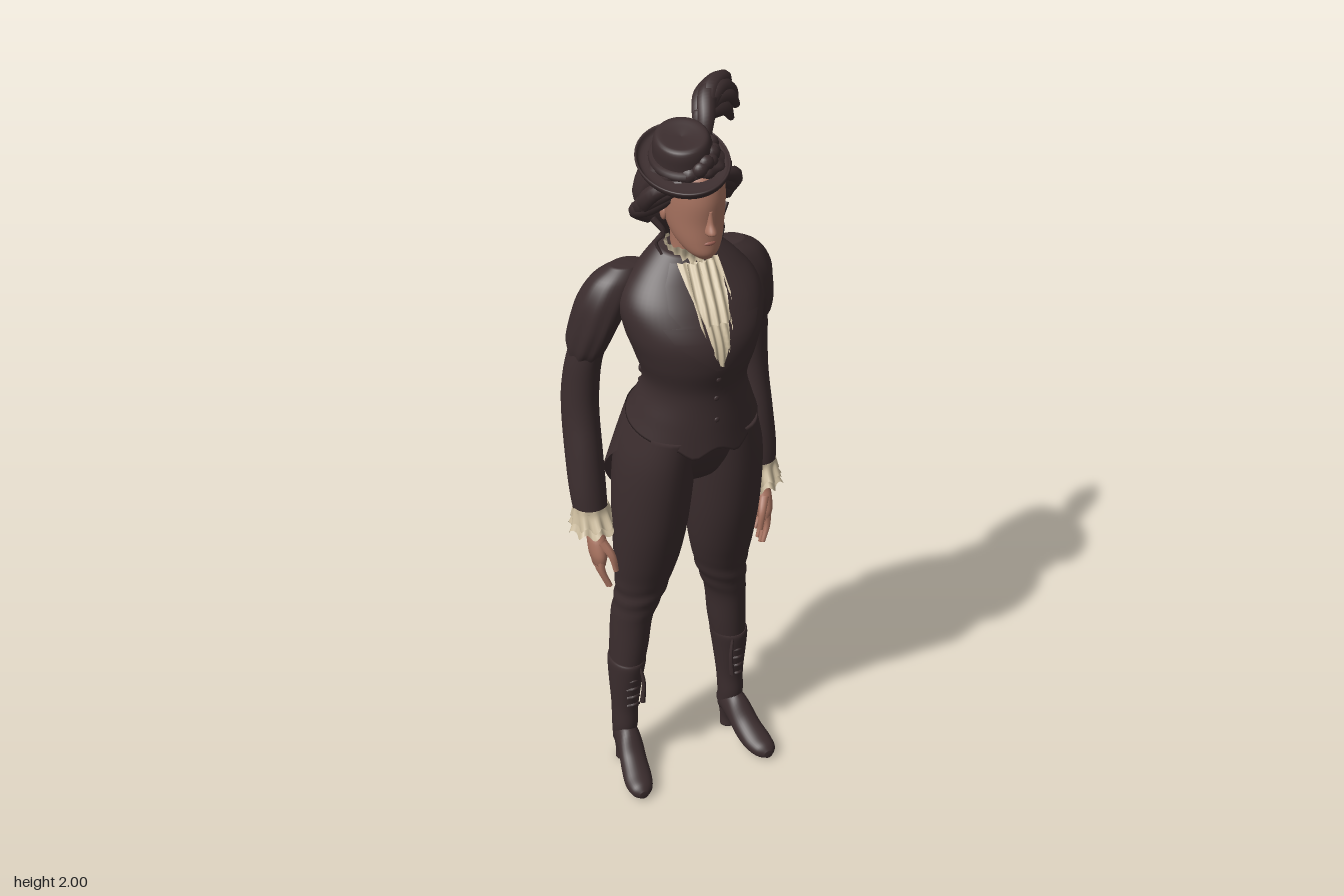
import * as THREE from 'three';

const mat = (name, color) => {
  const m = new THREE.MeshStandardMaterial({ color, side: THREE.DoubleSide });
  m.name = name;
  return m;
};

// Smoothly resample rows of numbers (Catmull-Rom on each column)
function dense(rows, k = 6) {
  const out = [], n = rows.length, at = i => rows[Math.max(0, Math.min(n - 1, i))];
  const spline = (a, b, c, d, t) => {
    const cubic = 3 * (b - c) + d - a, square = 2 * a - 5 * b + 4 * c - d;
    return b + 0.5 * t * (c - a + t * (square + t * cubic));
  };
  for (let i = 0; i < n - 1; i++) for (let s = 0; s < k; s++) {
    const [a, b, c, d] = [at(i - 1), at(i), at(i + 1), at(i + 2)];
    out.push(b.map((_, j) => spline(a[j], b[j], c[j], d[j], s / k)));
  }
  out.push(rows[n - 1]);
  return out;
}

// Build an indexed grid; wrap closes it sideways, cap closes both ends
function grid(nu, nv, fn, wrap = false, cap = false) {
  const pos = [], idx = [], w = wrap ? nu : nu + 1;
  for (let j = 0; j <= nv; j++) for (let i = 0; i < w; i++) pos.push(...fn(i / nu, j / nv, j));
  for (let j = 0; j < nv; j++) for (let i = 0; i < nu; i++) {
    const a = j * w + i, b = j * w + (i + 1) % w;
    idx.push(a, b, b + w, a, b + w, a + w);
  }
  if (cap) for (const j of [0, nv]) {
    const c = [0, 0, 0], id = pos.length / 3;
    for (let i = 0; i < w; i++) for (let q = 0; q < 3; q++) c[q] += pos[(j * w + i) * 3 + q] / w;
    pos.push(...c);
    for (let i = 0; i < w; i++) {
      const a = j * w + i, b = j * w + (i + 1) % w;
      idx.push(...(j ? [a, b, id] : [b, a, id]));
    }
  }
  const g = new THREE.BufferGeometry();
  g.setAttribute('position', new THREE.Float32BufferAttribute(pos, 3));
  g.setIndex(idx);
  g.computeVertexNormals();
  return g;
}

// Oval cross-sections [height, centre x, front z, back z, half width], rising
function loft(sections, { n = 32, cap = true, rule = () => ({}) } = {}) {
  const rows = dense(sections);
  return grid(n, rows.length - 1, (u, v, j) => {
    const [y, cx, f, b, rx] = rows[j], a = u * Math.PI * 2;
    const { scale = 1, dy = 0 } = rule(a, v, y);
    return [cx + rx * scale * Math.sin(a), y + dy, (f + b) / 2 + (f - b) / 2 * scale * Math.cos(a)];
  }, true, cap);
}

// Tapered round strand along a curve
function strand(points, radius, taper = t => 1 - 0.6 * t, seg = 16, sides = 8) {
  const curve = new THREE.CatmullRomCurve3(points.map(p => new THREE.Vector3(...p)));
  const g = new THREE.TubeGeometry(curve, seg, radius, sides), p = g.attributes.position, v = new THREE.Vector3();
  for (let i = 0; i < p.count; i++) {
    const t = Math.floor(i / (sides + 1)) / seg, c = curve.getPointAt(t);
    v.fromBufferAttribute(p, i).sub(c).multiplyScalar(taper(t)).add(c);
    p.setXYZ(i, v.x, v.y, v.z);
  }
  g.computeVertexNormals();
  return g;
}

const ball = (r, x, y, z, sx = 1, sy = 1, sz = 1) =>
  new THREE.SphereGeometry(r, 16, 12).scale(sx, sy, sz).translate(x, y, z);

function mirrored(g) {
  const m = g.clone().scale(-1, 1, 1), i = m.index.array;
  for (let k = 0; k < i.length; k += 3) [i[k], i[k + 1]] = [i[k + 1], i[k]];
  m.computeVertexNormals();
  return m;
}

export function createModel() {
  const root = new THREE.Group();
  const cloth = mat('dark cloth', 0x3b2d2e), skin = mat('skin', 0xa87360);
  const lace = mat('cream lace', 0xcdbd9f), rose = mat('rosy skin', 0x9c6054);
  const add = (name, g, m = cloth) => {
    const mesh = new THREE.Mesh(g, m);
    mesh.name = name;
    root.add(mesh);
    return mesh;
  };
  const pair = (name, g, m) => { add(name + 'Left', g, m); add(name + 'Right', mirrored(g), m); };

  // Jacket body: pointed front hem, slightly raised back hem and back collar
  const body = [[1.12, 0, .178, -.115, .168], [1.18, 0, .174, -.095, .15], [1.27, 0, .17, -.075, .13],
    [1.35, 0, .188, -.09, .152], [1.42, 0, .186, -.108, .174], [1.49, 0, .148, -.108, .178],
    [1.55, 0, .1, -.085, .14], [1.6, 0, .06, -.052, .072]];
  add('jacketBody', loft(body, { n: 64, rule: (a, v, y) => {
    const low = Math.max(0, Math.min(1, (1.25 - y) / .13)), b = Math.min(a, 2 * Math.PI - a);
    const rear = (1 - Math.cos(a)) / 2, high = Math.max(0, (y - 1.55) / .05);
    return { dy: low * (.06 * rear - .028 * Math.exp(-(((b - .36) / .2) ** 2))) + .03 * high * rear };
  } }));

  // Patches laid over the chest: rows [height, inner x, outer x]
  const bodyRows = dense(body);
  const chest = (x, y) => {
    const i = Math.max(1, bodyRows.findIndex(r => r[0] >= y)), p = bodyRows[i - 1], q = bodyRows[i];
    const t = (y - p[0]) / (q[0] - p[0]), [, , f, b, rx] = p.map((c, k) => c + (q[k] - c) * t);
    return (f + b) / 2 + (f - b) / 2 * Math.sqrt(Math.max(0, 1 - (x / rx) ** 2));
  };
  const patch = (rows, off) => grid(24, rows.length * 6 - 6, (u, v) => {
    const s = v * (rows.length - 1), i = Math.min(rows.length - 2, Math.floor(s));
    const [y, a, b] = rows[i].map((c, k) => c + (rows[i + 1][k] - c) * (s - i));
    const x = a + (b - a) * u;
    return [x, y, chest(x, y) + off(x, y)];
  });
  pair('lapel', patch([[1.355, 0, .012], [1.43, .025, .105], [1.465, .03, .125], [1.47, .03, .085],
    [1.5, .04, .105], [1.55, .05, .095], [1.59, .055, .068]], () => .008));
  add('jabot', patch([[1.365, -.006, .006], [1.44, -.034, .034], [1.52, -.056, .056], [1.59, -.052, .052]],
    (x, y) => .006 + .004 * Math.sin(x * 330 + y * 14)), lace);
  add('jabotUpperFrill', patch([[1.47, -.03, .035], [1.53, -.042, .046], [1.59, -.035, .035]],
    (x, y) => .014 + .005 * Math.sin(x * 260 - y * 20)), lace);
  add('laceCollar', loft([[1.575, 0, .08, -.03, .066], [1.6, 0, .068, -.03, .055], [1.63, 0, .08, -.032, .062]],
    { n: 64, cap: false, rule: a => ({ scale: 1 + .06 * Math.sin(a * 16) }) }), lace);
  for (const y of [1.2, 1.26, 1.32]) add('jacketButton', ball(.007, 0, y, chest(0, y), 1, 1, .5));

  // Hips, legs and boots
  add('hips', loft([[.95, 0, .05, -.06, .05], [.99, 0, .1, -.1, .14], [1.06, 0, .138, -.115, .18],
    [1.13, 0, .155, -.1, .158], [1.2, 0, .13, -.07, .12]]));
  pair('leg', loft([[.3, .155, 0, -.105, .042], [.4, .145, .01, -.112, .05], [.5, .137, .018, -.11, .054],
    [.57, .122, .032, -.1, .063], [.63, .113, .045, -.098, .073], [.72, .106, .075, -.102, .086],
    [.83, .102, .106, -.112, .095], [.95, .098, .13, -.12, .098], [1.05, .092, .145, -.115, .094], [1.14, .08, .155, -.09, .08]],
    { rule: (a, v, y) => ({ scale: 1 + .035 * Math.sin(y * 110 + 2 * Math.sin(a)) * Math.exp(-(((y - .58) / .05) ** 2)) }) }));
  pair('bootShaft', loft([[.07, .16, -.03, -.09, .03], [.13, .16, -.012, -.092, .034], [.2, .158, -.012, -.096, .036],
    [.29, .155, .002, -.108, .044], [.345, .152, .01, -.113, .049], [.36, .15, .008, -.111, .047]]));
  pair('bootFoot', loft([[-.092, .158, -.05, -.11, .02], [-.06, .16, -.046, -.14, .031], [-.01, .165, -.032, -.13, .035],
    [.035, .173, -.008, -.085, .038], [.08, .181, 0, -.058, .039], [.115, .186, -.001, -.045, .03],
    [.132, .188, -.008, -.03, .012]]).rotateX(Math.PI / 2));
  pair('bootHeel', loft([[0, .16, -.04, -.084, .023], [.03, .16, -.04, -.086, .022], [.075, .16, -.022, -.092, .029]]));
  for (let i = 0; i < 5; i++)
    pair('bootLace', strand([[.138, .22 + i * .027, -.006], [.155, .228 + i * .027, .005], [.172, .22 + i * .027, -.006]], .004, () => 1, 8, 6));
  pair('bootTassel', strand([[.137, .35, .004], [.13, .3, .01], [.134, .235, .01]], .008, t => .5 + .5 * t));

  // Sleeves: long arm and puffed shoulder
  pair('sleeve', loft([[.85, .24, -.018, -.1, .043], [.92, .242, -.025, -.118, .047], [1.02, .24, -.04, -.15, .047],
    [1.12, .237, -.058, -.174, .046], [1.2, .234, -.06, -.175, .045], [1.3, .226, -.045, -.155, .042],
    [1.42, .2, -.01, -.12, .04]]));
  pair('puffSleeve', loft([[1.3, .228, -.05, -.15, .038], [1.335, .225, -.025, -.163, .044], [1.4, .212, 0, -.15, .053],
    [1.47, .188, .008, -.128, .066], [1.525, .16, 0, -.105, .064], [1.558, .135, -.02, -.075, .04]],
    { n: 48, rule: (a, v) => ({ scale: 1 + .045 * Math.sin(a * 9 + v * 3) * (1 - v) }) }));
  for (const [dy, r] of [[0, .06], [.02, .053]]) pair('laceCuff', loft([[.81 + dy, .238, .004, -.112, r],
    [.84 + dy, .239, -.014, -.104, .048], [.87 + dy * .4, .24, -.018, -.1, .045]],
    { n: 64, cap: false, rule: (a, v) => ({ scale: 1 + .1 * (1 - v) * Math.sin(a * 9), dy: .008 * (1 - v) * Math.cos(a * 9) }) }), lace);

  // Hands
  pair('palm', loft([[.715, .236, .004, -.058, .015], [.745, .237, .008, -.062, .022], [.78, .237, -.004, -.064, .024],
    [.81, .238, -.022, -.068, .022], [.86, .24, -.03, -.074, .022]]), skin);
  [.655, .645, .65, .668].forEach((tip, i) => {
    const z = -.004 - i * .0155;
    pair('finger', strand([[.238, .74, z], [.237, .7, z + .004], [.22, tip, z + .014]], .0105, t => 1 - .45 * t), skin);
  });
  pair('thumb', strand([[.232, .785, -.01], [.215, .75, .012], [.207, .705, .018]], .013, t => 1 - .45 * t), skin);

  // Split coat tails, each falling to a point
  pair('coatTail', grid(32, 24, (u, v) => {
    const tip = .16, { lerp } = THREE.MathUtils;
    const hem = u < tip ? lerp(.82, .74, u / tip) : lerp(.74, 1.06, (u - tip) / (1 - tip));
    const top = lerp(1.2, 1.15, u), y = top + (hem - top) * v, d = Math.max(0, (1.2 - y) / .46);
    const a = u * Math.PI / 2, notch = 1 - .28 * (1 - Math.min(1, u / tip)) ** 1.5;
    return [(.138 + .07 * Math.min(1, d * 2)) * Math.sin(a), y,
      -(.094 + .104 * Math.pow(d, .65)) * Math.pow(Math.max(0, Math.cos(a)), .7) * notch];
  }));

  // Back bow
  pair('bowLoop', ball(.032, .045, 1.215, -.1, 1.2, .75, .5));
  add('bowKnot', ball(.016, 0, 1.215, -.102));
  pair('bowEnd', strand([[.008, 1.21, -.105], [.035, 1.175, -.122], [.06, 1.15, -.13]], .016, t => .5 + .5 * t));

  // Neck, head and face
  add('neck', loft([[1.55, 0, .06, -.035, .055], [1.6, 0, .058, -.03, .044], [1.68, 0, .07, -.04, .045]]), skin);
  add('head', loft([[1.618, 0, .118, .06, .02], [1.635, 0, .13, .03, .04], [1.665, 0, .131, -.02, .058],
    [1.71, 0, .13, -.05, .068], [1.77, 0, .133, -.06, .071], [1.82, 0, .12, -.05, .066], [1.85, 0, .09, -.03, .04]]), skin);
  add('nose', loft([[1.688, 0, .138, .115, .009], [1.697, 0, .153, .11, .014], [1.72, 0, .141, .11, .009],
    [1.75, 0, .134, .11, .007]], { n: 12 }), skin);
  add('lips', ball(.016, 0, 1.665, .126, 1, .4, .5), rose);
  pair('ear', ball(.018, .069, 1.71, .02, .4, 1, .7), skin);

  // Swept-up hair with waves, low coil and loose curls
  add('hair', loft([[1.6, 0, -.025, -.065, .03], [1.64, 0, 0, -.092, .058], [1.69, 0, .025, -.104, .095],
    [1.74, 0, .045, -.11, .115], [1.8, 0, .095, -.108, .108], [1.84, 0, .116, -.095, .088], [1.87, 0, .08, -.06, .055]],
    { n: 72, rule: (a, v) => ({ scale: 1 + .035 * Math.sin(a * 12 + v * 9) }) }));
  add('hairCoil', new THREE.TorusGeometry(.034, .02, 10, 24).rotateX(-.3).translate(0, 1.665, -.082));
  add('hairCoilCentre', ball(.024, 0, 1.665, -.088));
  for (let i = 0; i < 3; i++)
    pair('hairRoll', strand([[.05, 1.815 - i * .02, .09 - i * .014], [.1, 1.785 - i * .03, .05 - i * .022],
      [.108, 1.735 - i * .022, .004 - i * .025], [.07, 1.685 - i * .015, -.06]], .021, t => .55 + .5 * Math.sin(t * Math.PI)));
  pair('looseCurl', strand([[.095, 1.7, .02], [.075, 1.665, .035], [.088, 1.635, .02], [.078, 1.605, .03]], .008));

  // Tilted hat with curled brim, crown, band and rosette
  const hat = new THREE.Group();
  hat.name = 'hat';
  hat.position.set(-.022, 1.83, .03);
  hat.rotation.set(.17, 0, .17);
  root.add(hat);
  const lathe = pts => new THREE.LatheGeometry(dense(pts, 4).map(p => new THREE.Vector2(...p)), 48);
  const hatPart = (name, g) => hat.add(add(name, g));
  hatPart('hatBrim', lathe([[.05, -.006], [.085, -.008], [.1, 0], [.106, .016], [.102, .02], [.094, .008], [.07, .006], [.05, .006]]).scale(1, 1, 1.3));
  hatPart('hatCrown', lathe([[.076, -.005], [.07, .03], [.066, .06], [.056, .076], [.03, .074], [0, .07]]).scale(1, 1, 1.14).translate(.008, 0, -.012));
  hatPart('hatBand', new THREE.TorusGeometry(.07, .011, 8, 40).rotateX(Math.PI / 2).scale(1, 1.3, 1.14).translate(.008, .014, -.012));
  for (let i = 0; i < 7; i++) {
    const a = .2 + i * .24;
    hatPart('rosetteFold', ball(.021, .072 * Math.sin(a), .026 + .008 * (i % 2), -.01 + .08 * Math.cos(a), 1, 1, .8));
  }

  // Plumes fanning up and over the left shoulder: middle x, y and tip x, y, z
  const plumes = [[.075, 1.964, .13, 1.945, -.08], [.09, 1.972, .16, 1.95, -.1], [.105, 1.964, .178, 1.88, -.1],
    [.085, 1.945, .165, 1.9, -.065], [.07, 1.925, .14, 1.88, -.045], [.065, 1.945, .11, 1.96, -.105]];
  plumes.forEach(([mx, my, tx, ty, tz], i) => {
    const path = [[.035, 1.86, .03 - i * .006], [.05, 1.92, .005 - i * .006], [mx, my, tz * .5],
      [(mx + tx) / 2 + .012, (my + ty) / 2 + .012, tz * .8], [tx, ty, tz]];
    add('plume', strand(path, .02, t => (.3 + Math.sin(Math.PI * (t * .92 + .02))) * (1 - .2 * t), 28));
  });

  return root;
}
